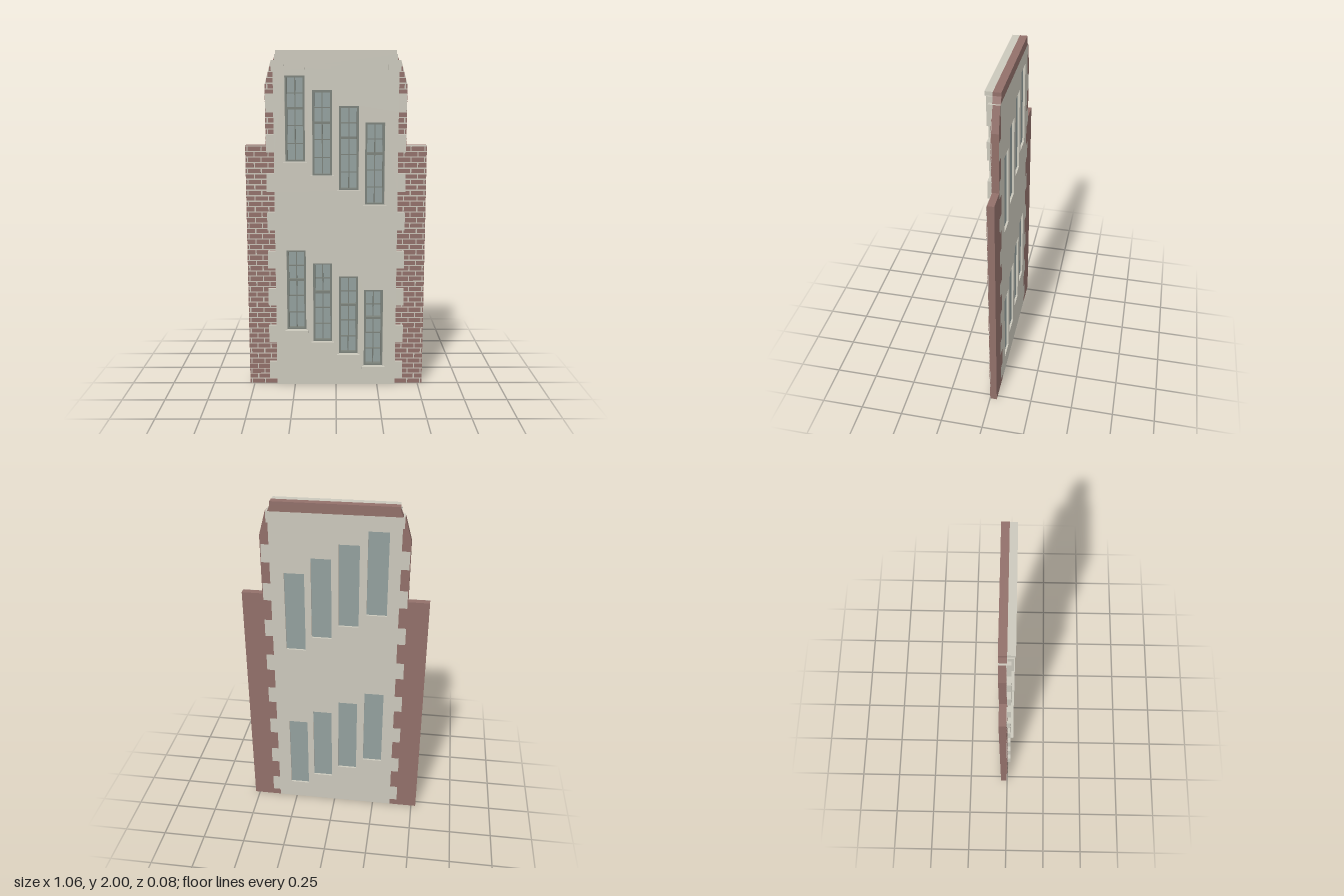
import * as THREE from 'three';
import { mergeGeometries } from 'three/addons/utils/BufferGeometryUtils.js';

const material = (name, color) => {
  const m = new THREE.MeshStandardMaterial({ color });
  m.name = name;
  return m;
};

const BACK = -0.042;

function box(x0, x1, y0, y1, z0, z1) {
  return new THREE.BoxGeometry(x1 - x0, y1 - y0, z1 - z0)
    .translate((x0 + x1) / 2, (y0 + y1) / 2, (z0 + z1) / 2);
}

function extrude(shape, z0, z1) {
  return new THREE.ExtrudeGeometry(shape, { depth: z1 - z0, bevelEnabled: false }).translate(0, 0, z0);
}

const toShape = (points) => new THREE.Shape(points.map(([x, y]) => new THREE.Vector2(x, y)));
const mirror = (points) => points.map(([x, y]) => [-x, y]);

function rectHole(x0, x1, y0, y1) {
  return new THREE.Path([[x0, y0], [x1, y0], [x1, y1], [x0, y1]].map(([x, y]) => new THREE.Vector2(x, y)));
}

// Toothed right edge of the plaster, from the ground up
function quoinEdge() {
  const edge = [[0.36, 0]];
  for (let k = 0; k <= 8; k++) {
    const top = 0.04 + 0.2304 * k;
    if (k > 0) edge.push([0.405, top - 0.125], [0.36, top - 0.125]);
    edge.push([0.36, top], [k < 8 ? 0.405 : 0.37, top]);
  }
  edge.push([0.37, 1.945]);
  return edge;
}

// Outer limit of the brickwork at a given height
function brickLimit(y) {
  if (y < 1.463) return 0.528;
  if (y < 1.81) return 0.409;
  return 0.409 - (y - 1.81) / 0.135 * 0.037;
}

export function createModel() {
  const plaster = material('plaster', 0xcbc8bc);
  const brick = material('brick', 0x92706a);
  const mortar = material('mortar', 0xc9c3b8);
  const glass = material('glass', 0x93a09e);
  const frame = material('window frame', 0x7c827b);

  const model = new THREE.Group();
  model.name = 'townhouseFacade';
  const add = (name, geometry, mat, parent = model) => {
    const mesh = new THREE.Mesh(geometry, mat);
    mesh.name = name;
    parent.add(mesh);
    return mesh;
  };

  // Window openings: x centre, bottom, top, for both storeys
  const windows = [
    [-0.237, 1.365, 1.86], [-0.08, 1.285, 1.778], [0.075, 1.2, 1.69], [0.226, 1.112, 1.595],
    [-0.237, 0.345, 0.842], [-0.08, 0.27, 0.763], [0.075, 0.192, 0.682], [0.226, 0.115, 0.598],
  ];
  const HALF = 0.057;

  // Plaster front with toothed edges and window openings
  const edge = quoinEdge();
  const wall = toShape([...edge, ...mirror(edge).reverse()]);
  for (const [x, y0, y1] of windows) wall.holes.push(rectHole(x - HALF, x + HALF, y0, y1));
  add('plasterWall', extrude(wall, BACK, 0.02), plaster);

  // Brick wings: solid body, mortar bed and raised bricks
  const wing = [
    [0.528, 0], [0.528, 1.463], [0.409, 1.463], [0.409, 1.81], [0.372, 1.945],
    ...edge.slice().reverse(),
  ];
  const COURSE = 1.463 / 45, LENGTH = 0.08, JOINT = 0.007;
  for (const side of [1, -1]) {
    const group = new THREE.Group();
    group.name = side > 0 ? 'leftBrickWing' : 'rightBrickWing';
    model.add(group);
    const shape = toShape(side > 0 ? wing : mirror(wing));
    add('brickBody', extrude(shape, BACK, -0.004), brick, group);
    add('mortarBed', extrude(shape, -0.004, -0.002), mortar, group);

    const bricks = [];
    for (let row = 0; (row + 1) * COURSE < 1.945; row++) {
      const y0 = row * COURSE, y1 = y0 + COURSE - JOINT;
      const limit = brickLimit(y1);
      for (let x = 0.36 - (row % 2) * LENGTH / 2; x < limit; x += LENGTH) {
        const a = Math.max(x, 0.355), b = Math.min(x + LENGTH - JOINT, limit);
        if (b - a < 0.006) continue;
        bricks.push(side > 0 ? box(a, b, y0, y1, -0.003, 0) : box(-b, -a, y0, y1, -0.003, 0));
      }
    }
    add('bricks', mergeGeometries(bricks), brick, group);
  }

  // Brick parapet behind the cornice
  add('brickParapet', extrude(toShape([
    [-0.36, 1.945], [0.36, 1.945], [0.345, 1.98], [0.345, 2], [-0.345, 2], [-0.345, 1.98],
  ]), BACK, 0), brick);

  // Frieze with end brackets and hanging blocks
  const frieze = [[-0.35, 1.978], [-0.35, 1.815], [-0.298, 1.815], [-0.298, 1.92]];
  for (const x of [-0.229, -0.0765, 0.0765, 0.229]) {
    frieze.push([x - 0.049, 1.92], [x - 0.049, 1.894], [x + 0.049, 1.894], [x + 0.049, 1.92]);
  }
  frieze.push([0.298, 1.92], [0.298, 1.815], [0.35, 1.815], [0.35, 1.978]);
  add('frieze', extrude(toShape(frieze), 0.001, 0.032), plaster);
  add('cornice', box(-0.343, 0.343, 1.976, 2, 0, 0.04), plaster);

  // Windows: glass, frame with glazing bars, and sill
  for (const [cx, y0, y1] of windows) {
    const group = new THREE.Group();
    group.name = 'window';
    model.add(group);
    const x0 = cx - HALF, x1 = cx + HALF, height = y1 - y0;
    add('glass', box(x0, x1, y0, y1, -0.03, -0.024), glass, group);

    const rim = toShape([[x0, y0], [x1, y0], [x1, y1], [x0, y1]]);
    rim.holes.push(rectHole(x0 + 0.012, x1 - 0.012, y0 + 0.012, y1 - 0.012));
    add('frame', extrude(rim, -0.024, 0.004), frame, group);

    const transom = y1 - height * 0.375;
    const bars = [
      box(cx - 0.003, cx + 0.003, y0 + 0.01, y1 - 0.01, -0.024, -0.012),
      box(x0 + 0.01, x1 - 0.01, transom - 0.007, transom + 0.007, -0.024, 0),
    ];
    for (const f of [0.2, 0.575, 0.785]) {
      const y = y1 - height * f;
      bars.push(box(x0 + 0.01, x1 - 0.01, y - 0.003, y + 0.003, -0.024, -0.0125));
    }
    add('glazingBars', mergeGeometries(bars), frame, group);
    add('sill', box(cx - 0.069, cx + 0.069, y0 - 0.012, y0 + 0.003, 0, 0.037), plaster, group);
  }

  return model;
}
